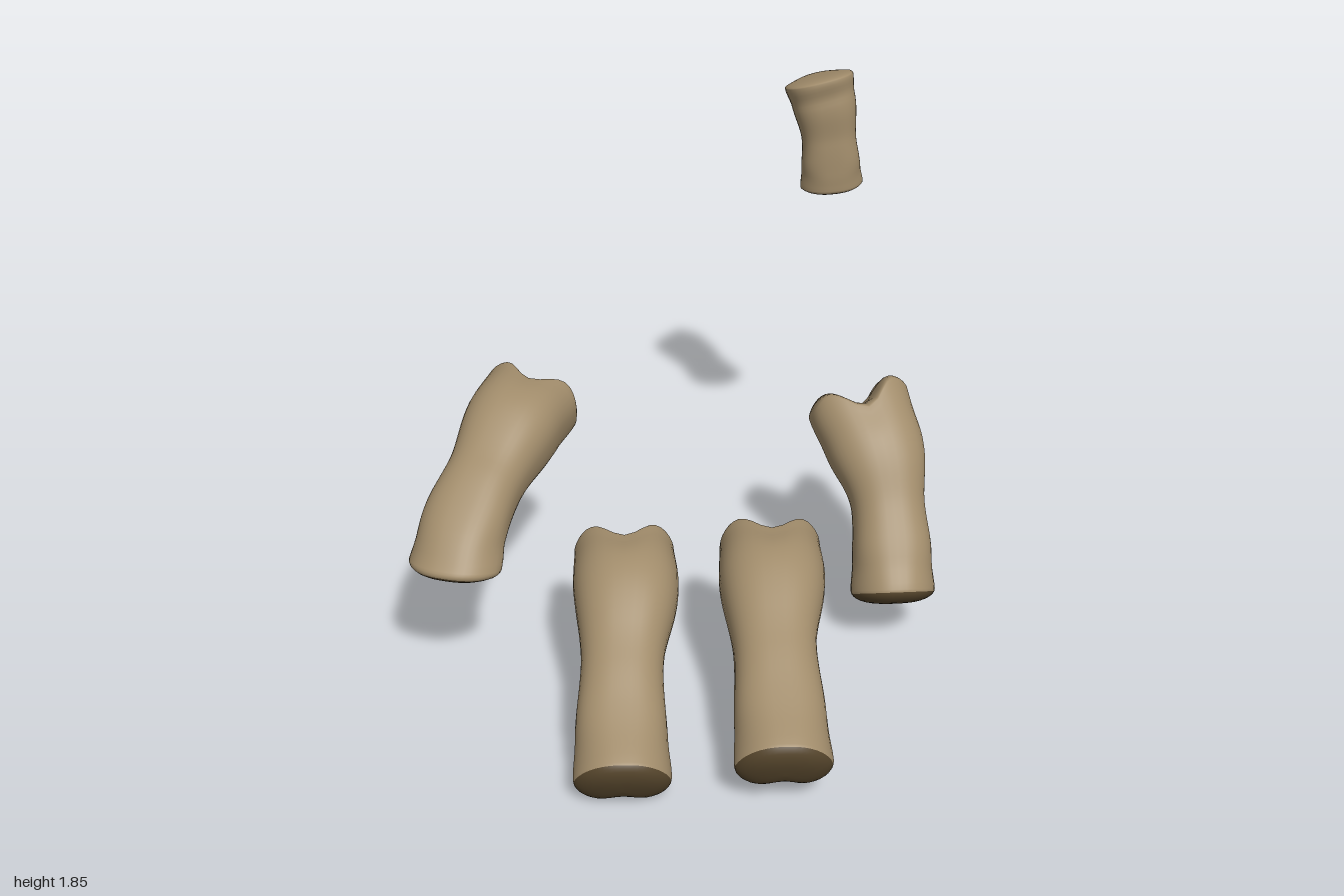
import * as THREE from 'three';

const boneTan = new THREE.MeshStandardMaterial({ color: 0xa18c6b });
boneTan.name = 'bone tan';
const jointBrown = new THREE.MeshStandardMaterial({ color: 0x54442b });
jointBrown.name = 'joint brown';

const SIDES = 40, BODY = 28, DOME = 8;
const KEYS = [0, 0.15, 0.45, 0.82, 1]; // stations for the half widths and heights
const smooth = THREE.MathUtils.smoothstep;
const pow = (v, p) => Math.sign(v) * Math.abs(v) ** p;

// Smoothly blend the values given at KEYS
function sample(values, s) {
  let i = 0;
  while (i < KEYS.length - 2 && s > KEYS[i + 1]) i++;
  return THREE.MathUtils.lerp(values[i], values[i + 1], smooth(s, KEYS[i], KEYS[i + 1]));
}

// One finger bone lofted along its spine, from the far joint to the knuckle head
function makeBone(o) {
  const spine = new THREE.CatmullRomCurve3(o.spine.map(p => new THREE.Vector3(...p)));

  // Stations: domed far joint, shaft, domed head
  const stations = [];
  const dome = (j, s, bulge) => {
    const a = (j / DOME) * Math.PI / 2;
    stations.push({ s, f: Math.sin(a) ** 0.75, push: bulge * Math.cos(a) });
  };
  for (let j = 0; j < DOME; j++) dome(j, 0, -o.bulge[0]);
  for (let i = 0; i <= BODY; i++) stations.push({ s: i / BODY, f: 1, push: 0 });
  for (let j = DOME - 1; j >= 0; j--) dome(j, 1, o.bulge[1]);

  const pos = [];
  for (const { s, f, push } of stations) {
    const center = spine.getPointAt(s), T = spine.getTangentAt(s);
    const W = new THREE.Vector3(...o.side);
    W.addScaledVector(T, -W.dot(T)).normalize();
    const N = new THREE.Vector3().crossVectors(W, T);
    const w = sample(o.w, s), h = sample(o.h, s);
    const far = 1 - smooth(s, 0, 0.3), head = smooth(s, 0.65, 1);
    const notch = o.notch[0] * far + o.notch[1] * head;
    for (let k = 0; k < SIDES; k++) {
      const a = (k / SIDES) * Math.PI * 2;
      let u = pow(Math.cos(a), 0.82) * f, v = pow(Math.sin(a), 0.82) * f;
      u *= 1 - 0.22 * far * Math.max(0, v) - o.taper * head * Math.max(0, -v);
      // groove along the underside between the two condyles
      if (v < 0) v *= 1 - notch * Math.exp(-u * u / 0.12);
      // paired knobs and slanted face at the head, slant at the far joint
      const knob = o.lobe * 0.5 * (1 - Math.cos(Math.abs(u) * Math.PI * 1.5));
      const shift = push + head * (knob - o.slant[1] * v) - far * o.slant[0] * v;
      const p = center.clone().addScaledVector(W, u * w)
        .addScaledVector(N, v * h).addScaledVector(T, shift);
      pos.push(p.x, p.y, p.z);
    }
  }

  const index = [];
  const rows = stations.length;
  for (let i = 0; i < rows - 1; i++) {
    for (let k = 0; k < SIDES; k++) {
      const n = (k + 1) % SIDES;
      const a = i * SIDES + k, b = i * SIDES + n, c = a + SIDES, d = b + SIDES;
      index.push(a, c, b, b, c, d);
    }
  }
  const geo = new THREE.BufferGeometry();
  geo.setAttribute('position', new THREE.Float32BufferAttribute(pos, 3));
  geo.setIndex(index);
  geo.computeVertexNormals();
  const dark = o.darkRows * SIDES * 6;
  geo.addGroup(0, dark, 1);
  geo.addGroup(dark, index.length - dark, 0);
  const mesh = new THREE.Mesh(geo, [boneTan, jointBrown]);
  mesh.name = o.name;
  return mesh;
}

// Shared proportions of the long finger bones
const finger = {
  side: [1, 0, 0],
  w: [0.16, 0.152, 0.138, 0.182, 0.175],
  h: [0.122, 0.118, 0.125, 0.172, 0.155],
  bulge: [0.05, 0.03], notch: [0.35, 0.4], slant: [0, 0.06], lobe: 0.07, taper: 0, darkRows: 7,
};

const bones = [
  { ...finger, name: 'middleFingerBone',
    spine: [[-0.24, 0.125, 0.88], [-0.235, 0.22, 0.68], [-0.22, 0.33, 0.48], [-0.2, 0.41, 0.28], [-0.197, 0.43, 0.08]] },
  { ...finger, name: 'ringFingerBone',
    spine: [[0.275, 0.205, 0.93], [0.28, 0.29, 0.72], [0.285, 0.385, 0.5], [0.3, 0.44, 0.3], [0.312, 0.455, 0.11]] },
  { ...finger, name: 'indexFingerBone', side: [0.8, -0.2, 0.48],
    w: [0.16, 0.15, 0.137, 0.17, 0.175], h: [0.1, 0.11, 0.125, 0.165, 0.155],
    slant: [0.06, 0.05], darkRows: 5,
    spine: [[-0.775, 0.57, 0.28], [-0.74, 0.66, 0.17], [-0.65, 0.76, -0.02], [-0.57, 0.825, -0.2], [-0.52, 0.835, -0.32]] },
  { ...finger, name: 'littleFingerBone',
    w: [0.15, 0.142, 0.13, 0.175, 0.185], h: [0.14, 0.13, 0.125, 0.155, 0.15],
    slant: [0, 0.02], lobe: 0.08,
    spine: [[0.76, 0.27, 0.1], [0.76, 0.44, -0.02], [0.74, 0.62, -0.16], [0.685, 0.76, -0.31]] },
  { ...finger, name: 'thumbBone',
    w: [0.115, 0.108, 0.098, 0.115, 0.125], h: [0.075, 0.078, 0.08, 0.105, 0.13],
    bulge: [0.025, 0.02], notch: [0.2, 0], slant: [0, 0], lobe: 0, taper: 0.6, darkRows: 6,
    spine: [[0.617, 1.445, -0.825], [0.605, 1.58, -0.828], [0.588, 1.71, -0.842], [0.56, 1.83, -0.87]] },
];

export function createModel() {
  const model = new THREE.Group();
  model.name = 'fingerBones';
  for (const b of bones) model.add(makeBone(b));
  return model;
}
